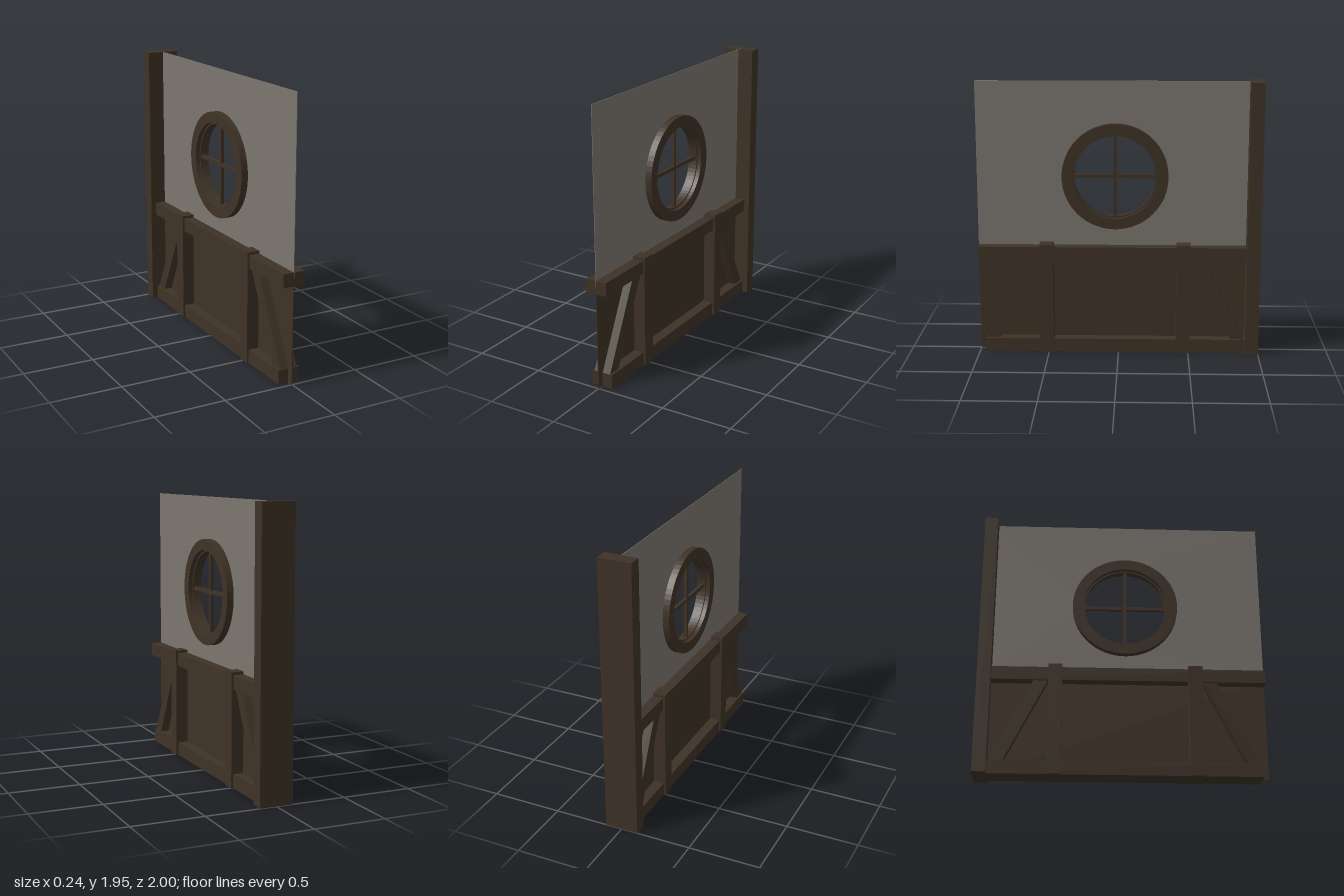
import * as THREE from 'three';

export function createModel() {
  const root = new THREE.Group();
  const wood = new THREE.MeshStandardMaterial({ color: 0x3e3226 });
  wood.name = 'dark wood';
  const plaster = new THREE.MeshStandardMaterial({ color: 0x7b766f });
  plaster.name = 'grey plaster';

  const add = (name, geometry, material = wood) => {
    const mesh = new THREE.Mesh(geometry, material);
    mesh.name = name;
    root.add(mesh);
    return mesh;
  };
  // Beam centred on x = 0, given half width and its y and z ranges
  const beam = (name, halfX, y0, y1, z0, z1) =>
    add(name, new THREE.BoxGeometry(halfX * 2, y1 - y0, z1 - z0))
      .position.set(0, (y0 + y1) / 2, (z0 + z1) / 2);
  // Outline in (z, y), extruded symmetrically along x
  const slab = (name, shape, halfX, material, curveSegments = 24) => {
    const g = new THREE.ExtrudeGeometry(shape, { depth: halfX * 2, bevelEnabled: false, curveSegments });
    g.translate(0, 0, -halfX).rotateY(-Math.PI / 2);
    return add(name, g, material);
  };
  const polygon = (points) => new THREE.Shape(points.map(([z, y]) => new THREE.Vector2(z, y)));

  const cz = 0.025, cy = 1.28;

  // Thin wall: plaster with a round opening above, boarding below
  const wall = polygon([[-0.95, 0.74], [1, 0.74], [1, 1.95], [-0.95, 1.95]]);
  wall.holes.push(new THREE.Path().absarc(cz, cy, 0.295, 0, Math.PI * 2, true));
  slab('upperWall', wall, 0.002, plaster, 48);
  beam('lowerPanel', 0.003, 0, 0.74, -0.95, 1);

  // Corner post and horizontal rails
  beam('cornerPost', 0.118, 0, 1.95, -1, -0.905);
  beam('topRail', 0.078, 0.685, 0.78, -0.905, 1);
  beam('bottomRail', 0.078, 0, 0.098, -0.905, 0.955);

  // Uprights and diagonal braces
  beam('frontUpright', 0.092, 0, 0.8, 0.463, 0.56);
  beam('backUpright', 0.092, 0, 0.8, -0.51, -0.412);
  slab('frontBrace', polygon([[0.955, 0.09], [0.66, 0.69], [0.56, 0.69], [0.855, 0.09]]), 0.062, wood);
  slab('backBrace', polygon([[-0.902, 0.09], [-0.807, 0.09], [-0.51, 0.69], [-0.608, 0.69]]), 0.062, wood);

  // Round window frame with a thin inner lip
  const ring = (name, outer, inner, halfX) => {
    const s = new THREE.Shape().absarc(cz, cy, outer, 0, Math.PI * 2, false);
    s.holes.push(new THREE.Path().absarc(cz, cy, inner, 0, Math.PI * 2, true));
    slab(name, s, halfX, wood, 32);
  };
  ring('windowFrame', 0.374, 0.298, 0.05);
  ring('windowLip', 0.305, 0.286, 0.02);

  // Crossed glazing bars
  beam('verticalGlazingBar', 0.012, cy - 0.295, cy + 0.295, cz - 0.012, cz + 0.012);
  beam('horizontalGlazingBar', 0.0115, cy - 0.013, cy + 0.013, cz - 0.295, cz + 0.295);

  return root;
}
